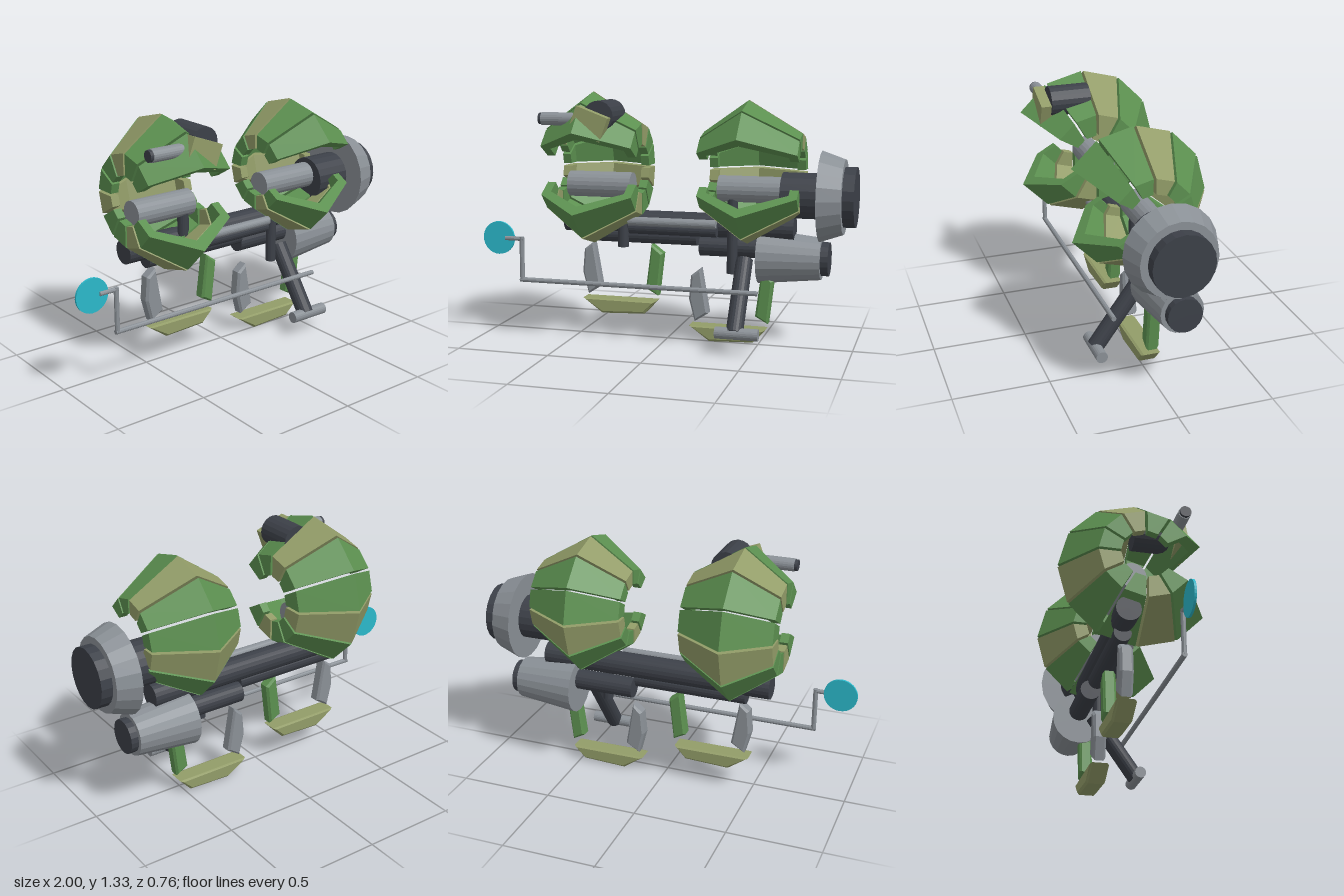
import * as THREE from 'three';

function mat(name, color) {
  const m = new THREE.MeshStandardMaterial({ color, flatShading: true });
  m.name = name;
  return m;
}

// Wedge of an angular shell ring: a closed profile swept between two angles about the x axis
function shellSegment(outer, inner, a0, a1, cy, cz) {
  const gap = 0.007, pos = [];
  const at = ([x, r], a, d) => [
    x,
    cy + r * Math.sin(a) + d * Math.cos(a),
    cz - r * Math.cos(a) + d * Math.sin(a),
  ];
  const quad = (a, b, c, d) => pos.push(...a, ...b, ...c, ...a, ...c, ...d);
  const start = (p) => at(p, a0, gap), end = (p) => at(p, a1, -gap);
  const loop = [...outer, ...[...inner].reverse()];
  loop.forEach((p, i) => {
    const q = loop[(i + 1) % loop.length];
    quad(start(p), end(p), end(q), start(q));
  });
  for (let i = 0; i < outer.length - 1; i++) {
    const [a, b, c, d] = [outer[i], outer[i + 1], inner[i + 1], inner[i]];
    quad(start(a), start(b), start(c), start(d));
    quad(end(d), end(c), end(b), end(a));
  }
  const g = new THREE.BufferGeometry();
  g.setAttribute('position', new THREE.Float32BufferAttribute(pos, 3));
  g.computeVertexNormals();
  return g;
}

export function createModel() {
  const root = new THREE.Group();
  const green = mat('green', 0x5c9050);
  const khaki = mat('khaki', 0x929c68);
  const dark = mat('darkGrey', 0x3c4048);
  const grey = mat('lightGrey', 0x8a9096);
  const teal = mat('teal', 0x2bb8ca);

  const add = (name, geo, material, parent = root) => {
    const m = new THREE.Mesh(geo, material);
    m.name = name;
    parent.add(m);
    return m;
  };
  // Cylinder or cone from point a (radius ra) to point b (radius rb)
  const rod = (name, a, b, ra, material, rb = ra, sides = 20) => {
    const A = new THREE.Vector3(...a), B = new THREE.Vector3(...b);
    const dir = B.clone().sub(A);
    const m = add(name, new THREE.CylinderGeometry(rb, ra, dir.length(), sides), material);
    m.position.copy(A).add(B).multiplyScalar(0.5);
    m.quaternion.setFromUnitVectors(new THREE.Vector3(0, 1, 0), dir.normalize());
    return m;
  };
  const along = (name, x0, x1, y, z, r0, material, r1 = r0, sides = 20) =>
    rod(name, [x0, y, z], [x1, y, z], r0, material, r1, sides);

  // Two armoured rings, open at the front
  const ring = (name, x0, xm, x1, R, re) => {
    const g = new THREE.Group();
    g.name = name;
    root.add(g);
    const ri = 0.13, t = 0.045;
    const outer = [[x0, ri], [x0, re], [xm, R], [x1, re], [x1, ri]];
    const inner = [[x0 + t, ri], [x0 + t, re - 0.03], [xm, R - 0.075], [x1 - t, re - 0.03], [x1 - t, ri]];
    for (let k = -5; k < 5; k++) {
      const geo = shellSegment(outer, inner, k * Math.PI / 6, (k + 1) * Math.PI / 6, 0.93, 0.035);
      add('armourSegment', geo, (k + 6) % 3 === 2 ? khaki : green, g);
    }
  };
  ring('rightArmourRing', -0.625, -0.4, -0.13, 0.408, 0.243);
  ring('leftArmourRing', 0.21, 0.445, 0.725, 0.373, 0.207);

  // Barrels inside the rings
  along('rightBarrel', -0.555, -0.2, 0.835, -0.02, 0.07, grey);
  along('leftBarrel', 0.28, 0.64, 0.835, -0.02, 0.07, grey);

  // Upper drum
  along('drumShaft', 0.62, 0.83, 0.812, -0.01, 0.12, dark);
  along('drumFlange', 0.82, 0.94, 0.812, -0.01, 0.237, grey, 0.195);
  along('drumCap', 0.93, 1.0, 0.812, -0.01, 0.157, dark);

  // Lower drum
  along('lowerDrum', 0.49, 0.82, 0.472, -0.08, 0.147, grey, 0.112);
  along('lowerDrumCap', 0.81, 0.86, 0.472, -0.08, 0.09, dark);
  along('lowerDrumShaft', 0.165, 0.5, 0.513, -0.08, 0.055, dark);

  // Cross bars and posts joining the rings
  along('mainBar', -0.59, 0.68, 0.632, -0.05, 0.065, dark);
  along('lowerBar', -0.46, 0.155, 0.562, -0.05, 0.046, dark);
  along('frontBar', -0.2, 0.28, 0.615, 0.035, 0.035, dark);
  along('frontPipe', -0.2, 0.28, 0.652, 0.06, 0.024, grey);
  rod('rightPost', [-0.25, 0.5, 0], [-0.25, 0.83, 0], 0.03, dark);
  rod('leftPost', [0.355, 0.385, 0], [0.355, 0.83, 0], 0.028, dark);

  // Kick stand
  rod('standLeg', [0.42, 0.46, -0.01], [0.42, 0.12, 0.23], 0.045, dark);
  along('standFoot', 0.32, 0.545, 0.12, 0.235, 0.031, grey);

  // Thin arm with a round reflector
  along('armRod', -0.787, 0.525, 0.32, 0.165, 0.013, grey, 0.013, 10);
  rod('armUpright', [-0.775, 0.32, 0.165], [-0.775, 0.556, 0.165], 0.013, grey, 0.013, 10);
  along('armTip', -0.87, -0.765, 0.545, 0.165, 0.012, grey, 0.012, 10);
  rod('reflector', [-0.91, 0.545, 0.153], [-0.91, 0.545, 0.165], 0.09, teal, 0.09, 32);

  // Hanging claws: grey arm, green arm and khaki foot, repeated lower on the left
  const plate = (name, pts, depth, material, dx, dy) => {
    const b = 0.012;
    const geo = new THREE.ExtrudeGeometry(
      new THREE.Shape(pts.map(([x, y]) => new THREE.Vector2(x, y))),
      { depth: depth - 2 * b, bevelEnabled: true, bevelSize: b, bevelThickness: b, bevelOffset: -b, bevelSegments: 1 },
    );
    add(name, geo, material).position.set(dx, dy, -0.035 - depth / 2 + b);
  };
  for (const [side, dx, dy] of [['right', 0, 0], ['left', 0.605, -0.117]]) {
    plate(side + 'ClawOuterArm',
      [[-0.488, 0.347], [-0.456, 0.224], [-0.381, 0.272], [-0.424, 0.517], [-0.477, 0.475]], 0.07, grey, dx, dy);
    plate(side + 'ClawInnerArm',
      [[-0.125, 0.272], [-0.056, 0.235], [-0.029, 0.469], [-0.093, 0.517]], 0.07, green, dx, dy);
    plate(side + 'ClawFoot',
      [[-0.483, 0.203], [-0.371, 0.123], [-0.131, 0.133], [-0.067, 0.203]], 0.104, khaki, dx, dy);
  }

  // Sight on top of the right ring
  rod('sightBody', [-0.3, 1.22, 0.04], [-0.3, 1.22, 0.255], 0.08, dark);
  const block = add('sightBlock', new THREE.BoxGeometry(0.18, 0.13, 0.06), khaki);
  block.position.set(-0.337, 1.183, 0.28);
  block.rotation.z = -0.36;
  along('sightTube', -0.61, -0.4, 1.203, 0.243, 0.034, grey);
  along('sightTubeCap', -0.626, -0.605, 1.203, 0.243, 0.03, dark);

  return root;
}
